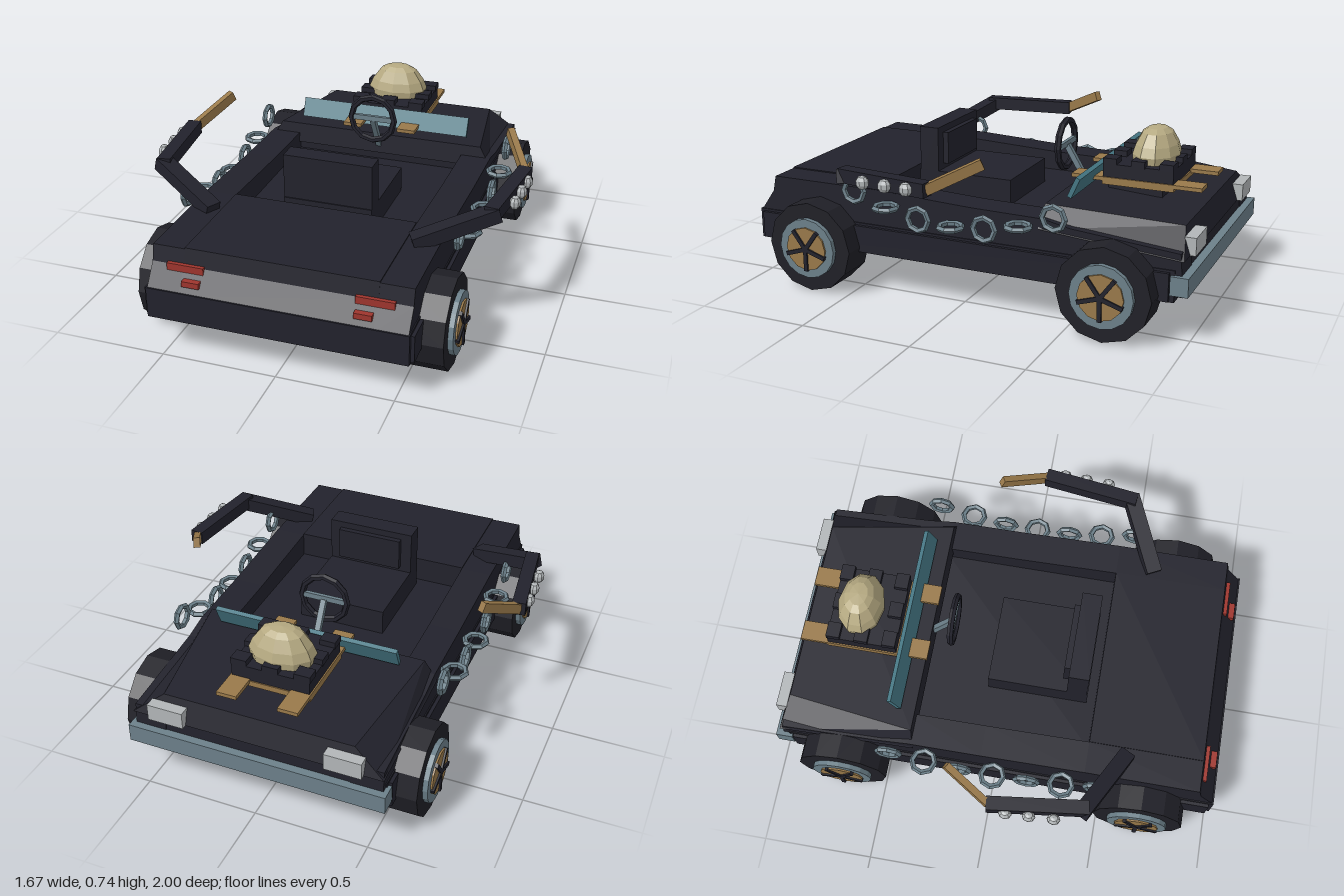
import * as THREE from 'three';

const mat = (name, color) => Object.assign(new THREE.MeshStandardMaterial({ color }), { name });

export function createModel() {
  const car = new THREE.Group();
  car.name = 'openCar';
  const black = mat('blackPaint', 0x22222c);
  const rubber = mat('rubber', 0x202027);
  const steel = mat('steel', 0x6c808a);
  const gold = mat('gold', 0x99794a);
  const bone = mat('bone', 0xb5a981);
  const teal = mat('tealGlass', 0x457784);
  const red = mat('redLens', 0x9e352d);
  const pale = mat('paleLens', 0xb2b6b8);

  const add = (name, geo, material, x = 0, y = 0, z = 0) => {
    const m = new THREE.Mesh(geo, material);
    m.name = name;
    m.position.set(x, y, z);
    car.add(m);
    return m;
  };
  // Box given by its limits on each axis
  const box = (name, material, x0, x1, y0, y1, z0, z1) =>
    add(name, new THREE.BoxGeometry(Math.abs(x1 - x0), y1 - y0, z1 - z0), material,
      (x0 + x1) / 2, (y0 + y1) / 2, (z0 + z1) / 2);
  // Side profile of [z, y] points, extruded across x
  const prism = (name, material, pts, x0, x1) => {
    const shape = new THREE.Shape(pts.map(p => new THREE.Vector2(...p)));
    const g = new THREE.ExtrudeGeometry(shape, { depth: x1 - x0, bevelEnabled: false });
    g.rotateY(-Math.PI / 2).translate(x1, 0, 0);
    return add(name, g, material);
  };
  // Square beam between two points
  const beam = (name, material, a, b, w, h = w) => {
    const p = new THREE.Vector3(...a), q = new THREE.Vector3(...b);
    const m = add(name, new THREE.BoxGeometry(w, h, p.distanceTo(q)), material);
    m.position.copy(p).lerp(q, 0.5);
    m.lookAt(q);
    return m;
  };
  const flat = g => {
    const f = g.toNonIndexed();
    f.computeVertexNormals();
    return f;
  };

  // Chassis and body
  box('chassis', black, -0.555, 0.555, 0.175, 0.31, -0.94, 1);
  prism('bodyCentre', black, [[1, 0.3], [0.93, 0.40], [0.915, 0.475], [0.41, 0.475], [0.41, 0.36],
    [-0.38, 0.36], [-0.38, 0.42], [-0.96, 0.36], [-0.97, 0.2], [1, 0.2]], -0.41, 0.41);
  for (const s of [-1, 1]) {
    const [x0, x1] = s > 0 ? [0.41, 0.55] : [-0.55, -0.41];
    prism('bodySide', black, [[1, 0.3], [0.93, 0.40], [0.915, 0.47], [0.41, 0.47], [-0.05, 0.45],
      [-0.38, 0.445], [-0.5, 0.42], [-0.96, 0.38], [-0.975, 0.2], [1, 0.2]], x0, x1);
    box('sideSkirt', black, s * 0.54, s * 0.57, 0.18, 0.3, -0.92, 0.98);
  }

  // Tapered bonnet
  const hood = new THREE.BoxGeometry(1, 1, 1);
  const hp = hood.attributes.position;
  for (let i = 0; i < hp.count; i++) {
    const s = Math.sign(hp.getX(i)), top = hp.getY(i) > 0, rear = hp.getZ(i) > 0;
    if (top) hp.setXYZ(i, s * (rear ? 0.5 : 0.42), rear ? 0.495 : 0.455, rear ? -0.37 : -0.94);
    else hp.setXYZ(i, s * 0.555, rear ? 0.4 : 0.35, rear ? -0.36 : -0.975);
  }
  hood.computeVertexNormals();
  add('bonnet', flat(hood), black);

  box('frontBumper', steel, -0.57, 0.57, 0.21, 0.29, -1, -0.925);

  // Seat
  box('seatCushion', black, -0.2, 0.2, 0.35, 0.475, -0.08, 0.37);
  box('seatBack', black, -0.2, 0.2, 0.46, 0.675, 0.275, 0.365);
  box('seatPanel', black, -0.15, 0.15, 0.5, 0.645, 0.25, 0.28);

  // Windscreen and steering
  beam('windscreen', teal, [0, 0.505, -0.44], [0, 0.59, -0.478], 0.83, 0.02);
  const wheelRing = add('steeringWheel', flat(new THREE.TorusGeometry(0.105, 0.015, 6, 12)), black, 0, 0.615, -0.265);
  wheelRing.scale.y = 1.02;
  beam('steeringColumn', steel, [0, 0.61, -0.27], [0, 0.43, -0.38], 0.025);
  box('steeringSpoke', steel, -0.1, 0.1, 0.605, 0.63, -0.275, -0.258);

  // Engine block on planks, capped with a faceted dome
  for (const s of [-1, 1]) box('plank', gold, s * 0.09, s * 0.178, 0.52, 0.537, -0.935, -0.36);
  box('enginePlate', gold, -0.178, 0.178, 0.505, 0.53, -0.815, -0.5);
  box('engineFoot', black, -0.15, 0.15, 0.46, 0.51, -0.76, -0.52);
  box('engineBlock', black, -0.172, 0.172, 0.53, 0.595, -0.81, -0.5);
  for (const x of [-0.14, 0, 0.14]) for (const z of [-0.78, -0.655, -0.53]) {
    if (x || z !== -0.655) box('battlement', black, x - 0.035, x + 0.035, 0.59, 0.62, z - 0.03, z + 0.03);
  }
  const profile = [[0.1, 0], [0.104, 0.035], [0.092, 0.075], [0.065, 0.125], [0.04, 0.143], [0, 0.148]];
  const dome = add('dome', flat(new THREE.LatheGeometry(profile.map(p => new THREE.Vector2(...p)), 10)), bone, 0, 0.592, -0.685);
  dome.scale.x = 1.4;

  for (const s of [-1, 1]) {
    // Lamps
    box('tailLamp', red, s * 0.32, s * 0.48, 0.345, 0.41, 0.9, 0.945);
    box('tailLampLower', red, s * 0.325, s * 0.4, 0.335, 0.36, 0.92, 0.985);
    box('headLamp', pale, s * 0.31, s * 0.47, 0.35, 0.425, -0.998, -0.95);

    // Wheels
    for (const z of [-0.68, 0.68]) {
      const disc = (name, m, r, x0, x1, n) => {
        const g = new THREE.CylinderGeometry(r, r, x1 - x0, n).rotateZ(Math.PI / 2);
        add(name, flat(g), m, s * (x0 + x1) / 2, 0.202, z);
      };
      disc('tyre', rubber, 0.202, 0.49, 0.658, 12);
      disc('rim', steel, 0.135, 0.64, 0.68, 16);
      disc('hubPlate', gold, 0.098, 0.66, 0.688, 12);
      for (let i = 0; i < 5; i++) {
        const a = -Math.PI / 2 + i * Math.PI * 2 / 5;
        beam('spoke', black, [s * 0.687, 0.202, z],
          [s * 0.687, 0.202 + 0.1 * Math.sin(a), z + 0.1 * Math.cos(a)], 0.018, 0.018);
      }
    }

    // Hanging chain with alternating upright and flat links
    for (let i = 0; i < 7; i++) {
      const t = (i - 3) / 3;
      const ring = add('chainLink', flat(new THREE.TorusGeometry(0.05, 0.013, 5, 8)), steel,
        s * 0.61, 0.375 + 0.1 * t * t, 0.01 - 0.46 * t);
      if (i % 2) ring.rotation.x = Math.PI / 2;
      else ring.rotation.y = Math.PI / 2;
    }

    // Raised arm with studs and a pointing tip
    beam('upperArm', black, [s * 0.44, 0.475, 0.58], [s * 0.755, 0.585, 0.42], 0.07, 0.06);
    beam('forearm', black, [s * 0.73, 0.585, 0.45], [s * 0.785, 0.585, 0.02], 0.06, 0.06);
    beam('armTip', gold, [s * 0.785, 0.583, 0.03], [s * 0.673, 0.685, -0.17], 0.03, 0.045);
    for (const z of [0.31, 0.205, 0.105]) {
      const stud = add('stud', flat(new THREE.SphereGeometry(0.03, 8, 5)), pale, s * (0.815 - z * 0.05), 0.583, z);
      stud.scale.x = 0.8;
    }
  }
  return car;
}
